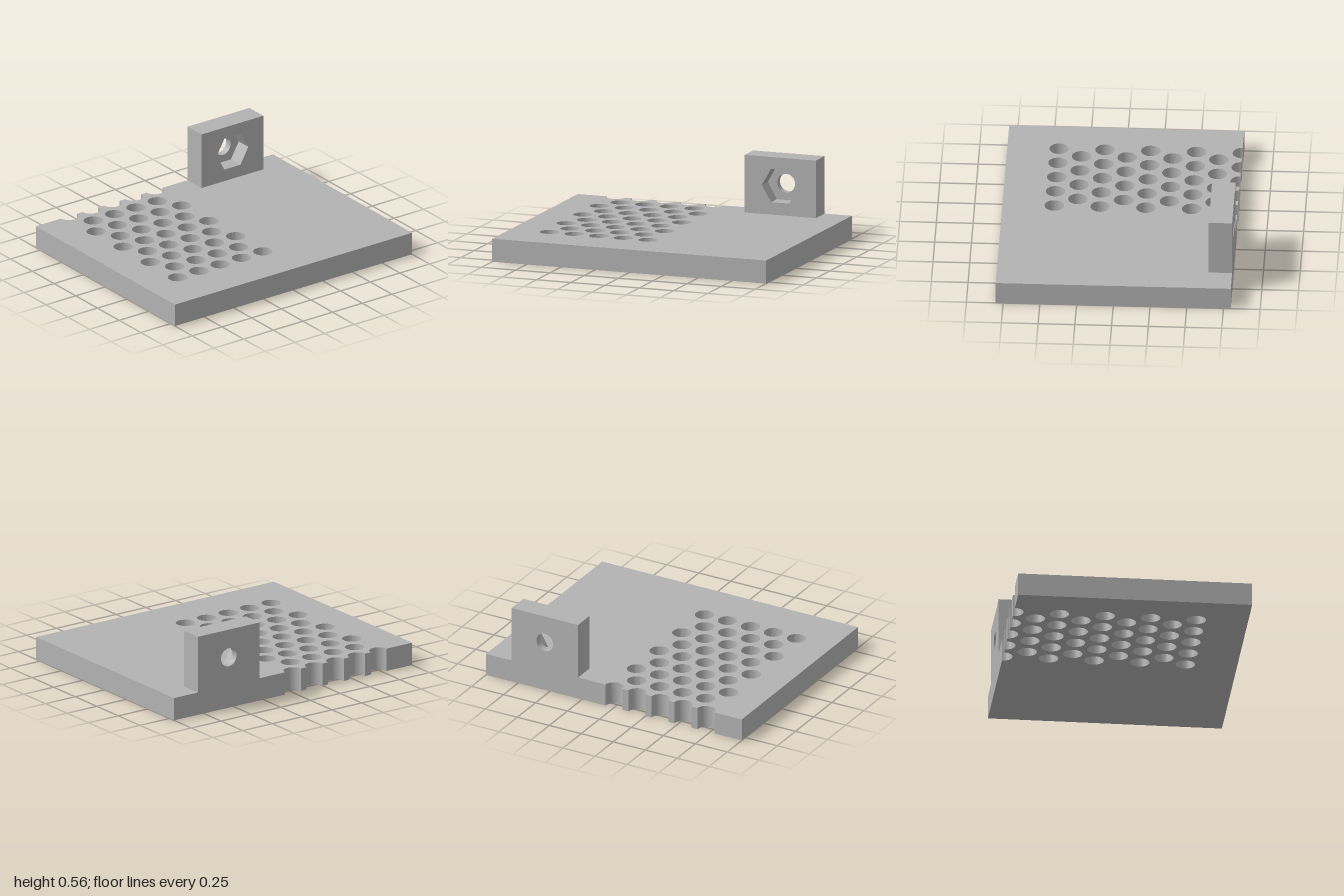
import * as THREE from 'three';
import { toCreasedNormals } from 'three/addons/utils/BufferGeometryUtils.js';

const grey = new THREE.MeshStandardMaterial({ color: 0xb3b3b3 });
grey.name = 'grey';

function extrude(shape, depth) {
  return new THREE.ExtrudeGeometry(shape, { depth, bevelEnabled: false, curveSegments: 20 });
}

function part(name, geometry) {
  const mesh = new THREE.Mesh(toCreasedNormals(geometry, 0.6), grey);
  mesh.name = name;
  return mesh;
}

function circle(x, y, r) {
  return new THREE.Path().absarc(x, y, r, 0, Math.PI * 2, true);
}

// Flat plate with a staggered hole grid whose first column cuts the edge
function basePlate() {
  const r = 0.066, pitch = 0.18, step = pitch * Math.sqrt(3) / 2;
  const shape = new THREE.Shape();
  shape.moveTo(-0.8, -1);
  shape.lineTo(0.8, -1);
  shape.lineTo(0.8, 1);
  shape.lineTo(-0.8, 1);
  for (let row = 0; row < 5; row++) {
    shape.absarc(-0.8, -row * pitch, r, Math.PI / 2, -Math.PI / 2, true);
  }
  shape.lineTo(-0.8, -1);
  for (let col = 1; col <= 8; col++) {
    const odd = col % 2;
    for (let row = 0; row < 5 - odd; row++) {
      shape.holes.push(circle(-0.8 + col * step, -(row + odd / 2) * pitch, r));
    }
  }
  return part('basePlate', extrude(shape, 0.16).rotateX(-Math.PI / 2));
}

// One upright layer of the bracket, pierced by the given hole
function bracketLayer(name, hole, x0, x1) {
  const shape = new THREE.Shape([[0.28, 0.16], [0.8, 0.16], [0.8, 0.56], [0.28, 0.56]]
    .map(([u, v]) => new THREE.Vector2(u, v)));
  shape.holes.push(hole);
  return part(name, extrude(shape, x1 - x0).rotateY(Math.PI / 2).translate(x0, 0, 0));
}

export function createModel() {
  const model = new THREE.Group();
  model.name = 'perforatedPlateWithBracket';
  model.add(basePlate());

  // Bracket: round bolt hole at the back, hexagonal nut pocket in front
  const u = 0.54, v = 0.362, pocketFloor = -0.75;
  const hexagon = new THREE.Path(Array.from({ length: 6 }, (_, i) => {
    const a = -i * Math.PI / 3;
    return new THREE.Vector2(u + 0.134 * Math.cos(a), v + 0.134 * Math.sin(a));
  }));
  const bracket = new THREE.Group();
  bracket.name = 'bracket';
  bracket.add(
    bracketLayer('boltHoleWall', circle(u, v, 0.065), -0.8, pocketFloor),
    bracketLayer('nutPocketWall', hexagon, pocketFloor, -0.64)
  );
  model.add(bracket);
  return model;
}
